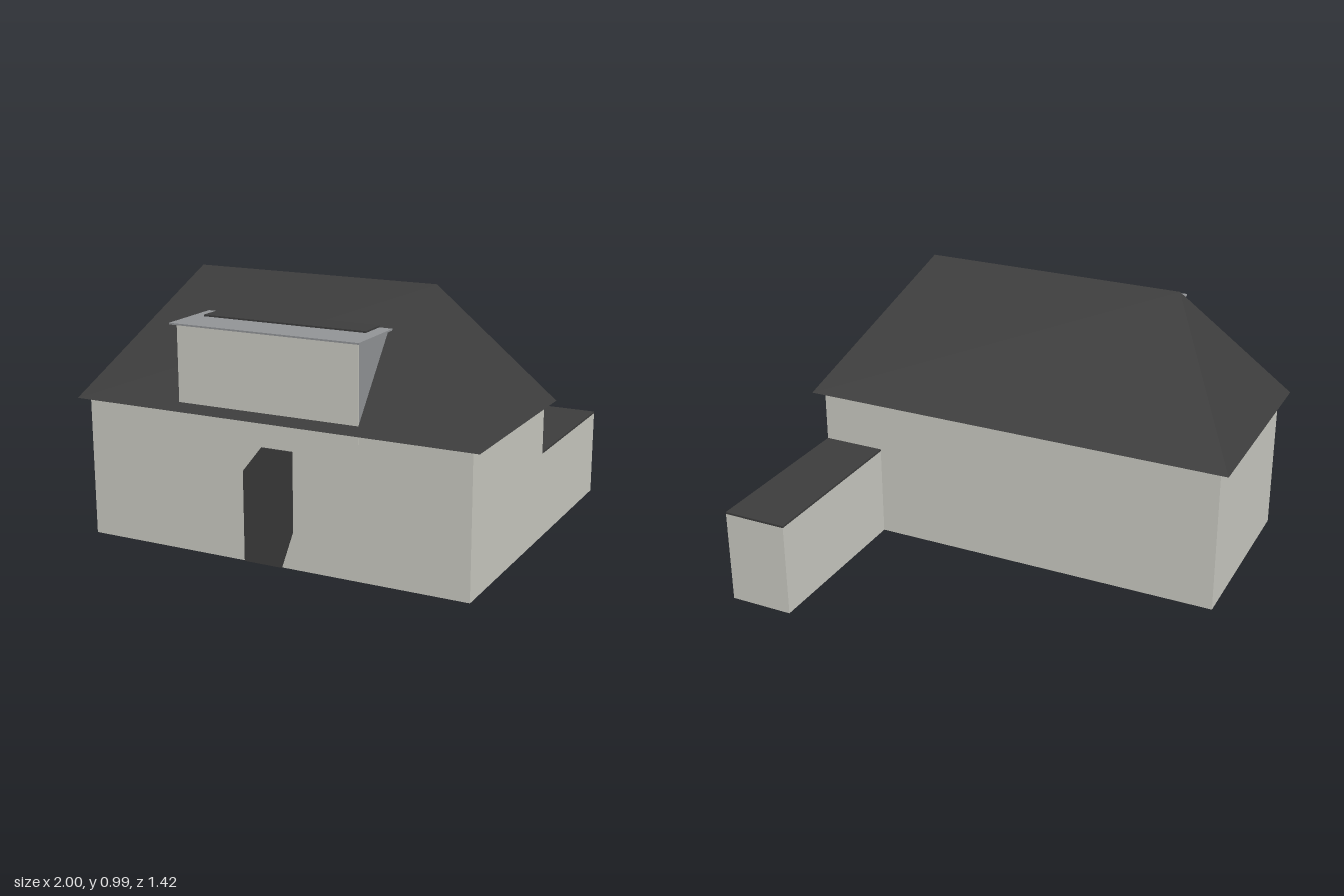
import * as THREE from 'three';

export function createModel() {
  const mat = (name, color) => {
    const m = new THREE.MeshStandardMaterial({ color, flatShading: true });
    m.name = name;
    return m;
  };
  const wall = mat('pale wall', 0xcacac2);
  const slate = mat('dark slate', 0x3d3d3d);
  const lead = mat('grey lead', 0x929497);

  // The whole house stands turned on its plot
  const house = new THREE.Group();
  house.name = 'house';
  house.rotation.y = THREE.MathUtils.degToRad(-29.4);
  house.position.set(-0.13, 0, 0);

  const add = (name, geometry, material) => {
    const mesh = new THREE.Mesh(geometry, material);
    mesh.name = name;
    house.add(mesh);
    return mesh;
  };
  // Box given by its limits along each axis
  const box = (name, material, [x0, x1], [y0, y1], [z0, z1]) => {
    const mesh = add(name, new THREE.BoxGeometry(x1 - x0, y1 - y0, z1 - z0), material);
    mesh.position.set((x0 + x1) / 2, (y0 + y1) / 2, (z0 + z1) / 2);
    return mesh;
  };

  // Main block and the low wing behind it
  const W = 0.7525, D = 0.3415;
  box('mainWalls', wall, [-W, W], [0, 0.52], [-D, D]);
  box('wingWalls', wall, [0.5265, W], [0, 0.328], [-0.9725, -D]);
  box('wingRoof', slate, [0.5265, W], [0.328, 0.335], [-0.9725, -D]);

  // Hipped roof: four eave corners and two ridge ends
  const ex = 0.787, ez = 0.374, eaveY = 0.525, ridgeY = 0.985, rx = 0.47;
  const roof = new THREE.BufferGeometry();
  roof.setAttribute('position', new THREE.Float32BufferAttribute([
    -ex, eaveY, ez, ex, eaveY, ez, ex, eaveY, -ez, -ex, eaveY, -ez,
    -rx, ridgeY, 0, rx, ridgeY, 0,
  ], 3));
  roof.setIndex([
    0, 1, 5, 0, 5, 4, // front slope
    2, 3, 4, 2, 4, 5, // back slope
    1, 2, 5, 3, 0, 4, // hips
    0, 3, 2, 0, 2, 1, // underside
  ]);
  const roofGeometry = roof.toNonIndexed();
  roofGeometry.computeVertexNormals();
  add('hippedRoof', roofGeometry, slate);

  // Dormer: wedge body with grey cheeks, pale front and flat roof
  const x0 = -0.36, x1 = 0.346;
  const cheek = new THREE.Shape([
    new THREE.Vector2(0.345, 0.54),
    new THREE.Vector2(0.345, 0.836),
    new THREE.Vector2(0.108, 0.836),
  ]);
  const body = new THREE.ExtrudeGeometry(cheek, { depth: x1 - x0, bevelEnabled: false });
  body.rotateY(-Math.PI / 2).translate(x1, 0, 0);
  add('dormerCheeks', body, lead);
  box('dormerFront', wall, [x0, x1], [0.49, 0.836], [0.345, 0.35]);
  box('dormerRoof', lead, [-0.376, 0.359], [0.836, 0.842], [0.108, 0.373]);
  box('dormerRoofPanel', slate, [-0.33, 0.309], [0.842, 0.848], [0.105, 0.221]);

  // Front door with clipped corners
  const door = new THREE.Shape([
    [-0.106, 0], [0.044, 0], [0.09, 0.14], [0.09, 0.43], [-0.031, 0.43], [-0.106, 0.335],
  ].map(([x, y]) => new THREE.Vector2(x, y)));
  add('frontDoor', new THREE.ExtrudeGeometry(door, { depth: 0.005, bevelEnabled: false }), slate)
    .position.z = D;

  const model = new THREE.Group();
  model.name = 'houseModel';
  model.add(house);
  return model;
}
